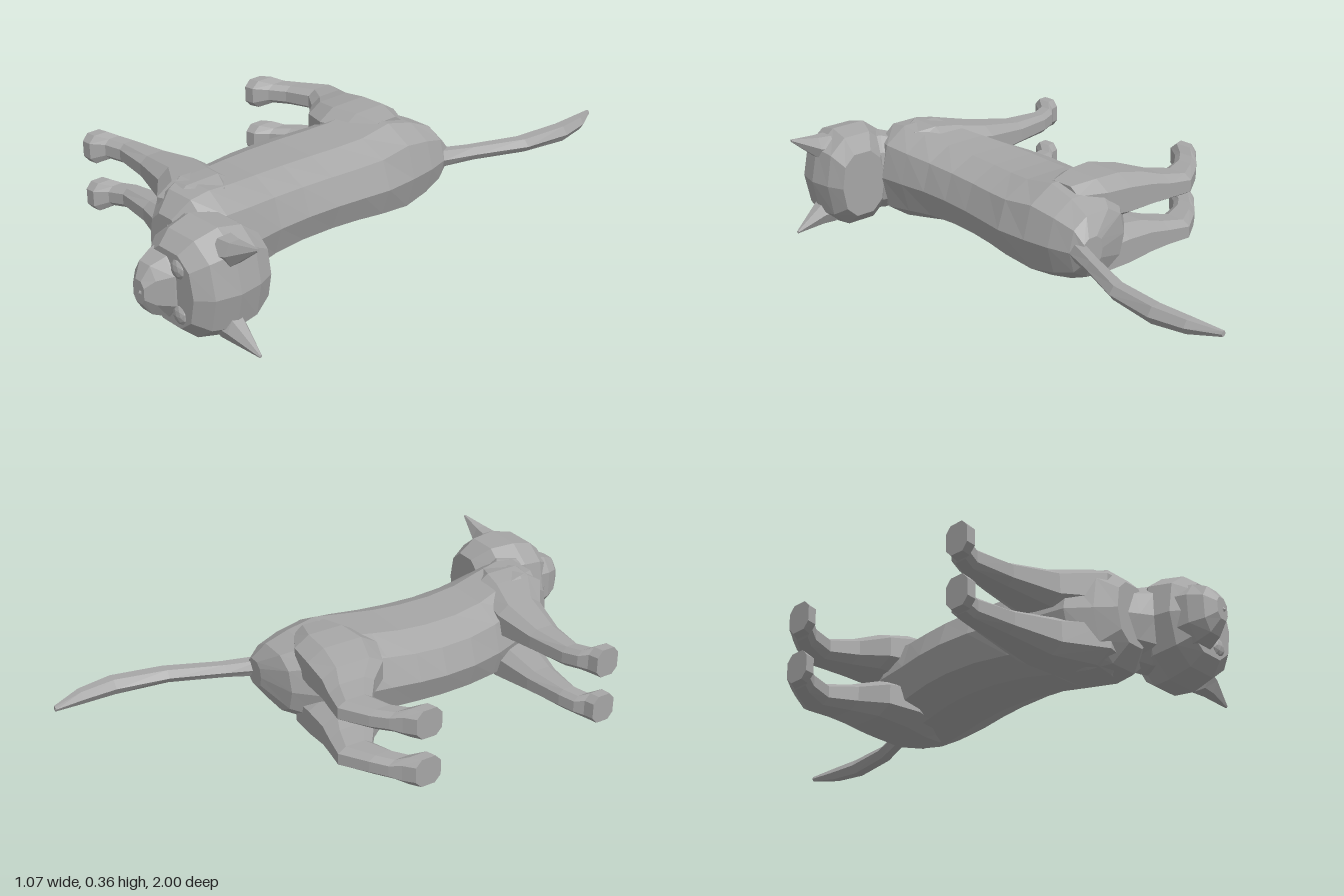
import * as THREE from 'three';

const fur = new THREE.MeshStandardMaterial({ color: 0xa6a6a6, flatShading: true });
fur.name = 'grey fur';

// Skin a list of rings into a closed, flat-shaded, outward-facing mesh.
function loft(name, rings) {
  const n = rings[0].length, pos = rings.flat().flatMap(p => p.toArray()), idx = [];
  for (let r = 0; r < rings.length - 1; r++) {
    for (let i = 0; i < n; i++) {
      const a = r * n + i, b = r * n + (i + 1) % n;
      idx.push(a, b, b + n, a, b + n, a + n);
    }
  }
  const last = (rings.length - 1) * n;
  for (let i = 1; i < n - 1; i++) idx.push(0, i + 1, i, last, last + i, last + i + 1);
  // turn the faces outward using the sign of the volume
  const pt = i => new THREE.Vector3().fromArray(pos, i * 3);
  let volume = 0;
  for (let i = 0; i < idx.length; i += 3) volume += pt(idx[i]).dot(pt(idx[i + 1]).cross(pt(idx[i + 2])));
  if (volume < 0) idx.reverse();
  const g = new THREE.BufferGeometry();
  g.setAttribute('position', new THREE.Float32BufferAttribute(pos, 3));
  g.setIndex(idx);
  const flat = g.toNonIndexed();
  flat.computeVertexNormals();
  const mesh = new THREE.Mesh(flat, fur);
  mesh.name = name;
  return mesh;
}

// Rounded polygon around a centre; a is the half width along x, b the half size along the tilted axis.
function ring(x, y, z, a, b, tilt, n, power) {
  const soft = v => Math.sign(v) * Math.pow(Math.abs(v), power);
  return Array.from({ length: n }, (_, i) => {
    const t = (i + 0.5) / n * Math.PI * 2, c = soft(Math.cos(t)) * a, s = soft(Math.sin(t)) * b;
    return new THREE.Vector3(x + c, y + s * Math.cos(tilt), z + s * Math.sin(tilt));
  });
}

// Sections across z: [z, bottom, top, half width]
const along = (name, rows, n, power = 0.8) => loft(name, rows.map(([z, lo, hi, w]) =>
  ring(0, (lo + hi) / 2, z, w, (hi - lo) / 2, 0, n, power)));

// Level sections: [y, back z, front z, inner x, outer x], mirrored by side
const upright = (name, rows, side, n, power = 0.7) => loft(name, rows.map(([y, z0, z1, x0, x1]) =>
  ring(side * (x0 + x1) / 2, y, (z0 + z1) / 2, (x1 - x0) / 2, (z1 - z0) / 2, Math.PI / 2, n, power)));

const BODY = [
  [-0.34, 0.12, 0.21, 0.05], [-0.3, -0.02, 0.23, 0.11], [-0.22, -0.1, 0.25, 0.145],
  [-0.12, -0.15, 0.262, 0.17], [0, -0.17, 0.267, 0.15], [0.1, -0.19, 0.252, 0.142],
  [0.2, -0.2, 0.238, 0.14], [0.32, -0.195, 0.228, 0.142], [0.44, -0.17, 0.228, 0.15],
  [0.55, -0.13, 0.24, 0.165], [0.65, -0.11, 0.25, 0.18], [0.72, -0.05, 0.22, 0.17],
  [0.775, 0, 0.16, 0.11]];
const HEAD = [
  [0.65, 0.24, 0.42, 0.12], [0.71, 0.17, 0.445, 0.17], [0.79, 0.12, 0.455, 0.185],
  [0.87, 0.135, 0.435, 0.165], [0.915, 0.17, 0.39, 0.125]];
const MUZZLE = [
  [0.86, 0.145, 0.34, 0.12], [0.92, 0.155, 0.315, 0.105], [0.965, 0.18, 0.285, 0.085], [0.995, 0.21, 0.265, 0.04]];
const TAIL = [
  [-0.3, 0.16, 0.23, 0.035], [-0.42, 0.21, 0.275, 0.027], [-0.6, 0.28, 0.355, 0.027],
  [-0.78, 0.31, 0.382, 0.032], [-0.9, 0.305, 0.362, 0.026], [-1, 0.295, 0.312, 0.01]];
const FORELEG = [
  [-0.535, 0.56, 0.652, 0.035, 0.142], [-0.5, 0.55, 0.65, 0.035, 0.142], [-0.475, 0.525, 0.605, 0.05, 0.125],
  [-0.42, 0.505, 0.585, 0.045, 0.12], [-0.28, 0.478, 0.605, 0.038, 0.125], [-0.12, 0.46, 0.655, 0.015, 0.152],
  [0, 0.48, 0.75, 0.005, 0.172], [0.07, 0.5, 0.74, 0.02, 0.18], [0.14, 0.56, 0.68, 0.04, 0.165]];
const HINDLEG = [
  [-0.535, -0.155, -0.055, 0.035, 0.142], [-0.5, -0.185, -0.06, 0.035, 0.142], [-0.47, -0.215, -0.11, 0.05, 0.125],
  [-0.42, -0.255, -0.15, 0.047, 0.122], [-0.33, -0.315, -0.18, 0.045, 0.125], [-0.25, -0.3, -0.12, 0.035, 0.135],
  [-0.18, -0.285, -0.04, 0.02, 0.155], [-0.08, -0.28, 0, 0.01, 0.175], [0.02, -0.27, -0.02, 0.02, 0.178],
  [0.11, -0.22, -0.06, 0.05, 0.165]];

export function createModel() {
  const cat = new THREE.Group();
  cat.name = 'cat';
  cat.add(along('body', BODY, 10), along('head', HEAD, 10), along('muzzle', MUZZLE, 8), along('tail', TAIL, 6, 1));

  // neck leaning forward, with a flared ruff under the head
  cat.add(loft('neck', [[0.06, 0.64, 0.15, 0.12], [0.14, 0.7, 0.13, 0.11], [0.19, 0.735, 0.145, 0.105],
    [0.25, 0.77, 0.14, 0.1]].map(([y, z, a, b]) => ring(0, y, z, a, b, 2.1, 10, 0.9))));

  for (const side of [1, -1]) {
    const label = side > 0 ? 'left' : 'right';
    cat.add(upright(label + 'Foreleg', FORELEG, side, 8), upright(label + 'HindLeg', HINDLEG, side, 8));

    // pointed ear leaning outward
    cat.add(upright(label + 'Ear', [[0.38, 0.74, 0.84, 0.06, 0.17], [0.43, 0.755, 0.83, 0.082, 0.17],
      [0.53, 0.785, 0.795, 0.168, 0.178]], side, 6, 1));

    // faceted eye set in the face
    const eye = new THREE.Mesh(new THREE.IcosahedronGeometry(0.033, 1), fur);
    eye.name = label + 'Eye';
    eye.scale.z = 0.6;
    eye.position.set(side * 0.075, 0.32, 0.908);
    cat.add(eye);
  }

  // small nose at the tip of the muzzle
  const nose = new THREE.Mesh(new THREE.ConeGeometry(0.03, 0.025, 5), fur);
  nose.name = 'nose';
  nose.rotation.x = Math.PI / 2;
  nose.position.set(0, 0.245, 0.989);
  cat.add(nose);

  // the cat lies on its side
  cat.rotation.z = -Math.PI / 2;
  cat.position.y = 0.185;
  const model = new THREE.Group();
  model.name = 'lyingCat';
  model.add(cat);
  return model;
}
